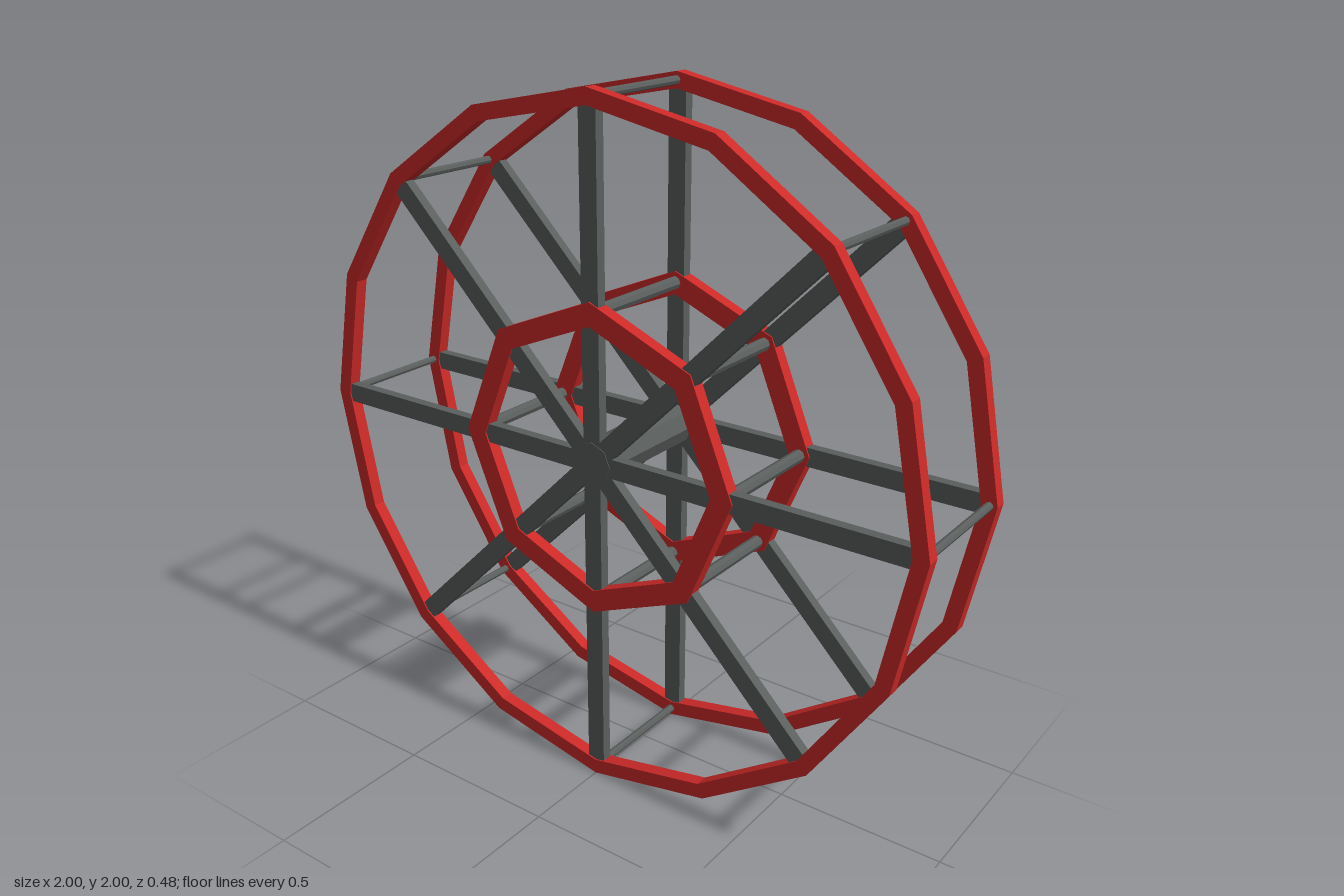
import * as THREE from 'three';

const red = new THREE.MeshStandardMaterial({ color: 0xcc2a28, flatShading: true });
const grey = new THREE.MeshStandardMaterial({ color: 0x5a5e5c, flatShading: true });
const FRONT = 0.22, BACK = -0.167, DEPTH = 0.038, SPOKES = 8;

// Regular polygon with one corner on the +x axis
function polygon(path, radius, sides) {
  const points = [];
  for (let i = 0; i < sides; i++) {
    const a = (i / sides) * Math.PI * 2;
    points.push(new THREE.Vector2(radius * Math.cos(a), radius * Math.sin(a)));
  }
  return path.setFromPoints(points);
}

function ring(name, outer, inner, sides, z) {
  const shape = polygon(new THREE.Shape(), outer, sides);
  shape.holes.push(polygon(new THREE.Path(), inner, sides));
  const geometry = new THREE.ExtrudeGeometry(shape, { depth: DEPTH, bevelEnabled: false });
  const mesh = new THREE.Mesh(geometry, red);
  mesh.name = name;
  mesh.position.z = z - DEPTH / 2;
  return mesh;
}

// Eight-sided bar running along z
function bar(name, radius, z0, z1) {
  const geometry = new THREE.CylinderGeometry(radius, radius, z1 - z0, 8);
  geometry.rotateX(Math.PI / 2);
  const mesh = new THREE.Mesh(geometry, grey);
  mesh.name = name;
  mesh.position.z = (z0 + z1) / 2;
  return mesh;
}

export function createModel() {
  const model = new THREE.Group();
  model.name = 'wheel';
  const wheel = new THREE.Group();
  wheel.name = 'wheelFrame';
  wheel.position.y = 1;
  model.add(wheel);

  // Two matching faces, each with an outer rim, inner ring and spokes
  for (const [side, z] of [['front', FRONT], ['back', BACK]]) {
    const face = new THREE.Group();
    face.name = side + 'Face';
    face.add(ring('outerRim', 1, 0.955, 16, z));
    face.add(ring('innerRing', 0.455, 0.388, 8, z));
    for (let i = 0; i < SPOKES; i++) {
      const a = (i / SPOKES) * Math.PI * 2;
      const spoke = new THREE.Mesh(new THREE.BoxGeometry(0.96, 0.056, 0.03), grey);
      spoke.name = 'spoke';
      spoke.position.set(0.48 * Math.cos(a), 0.48 * Math.sin(a), z);
      spoke.rotation.z = a;
      face.add(spoke);
    }
    wheel.add(face);
  }

  // Struts joining the two faces at every spoke
  for (let i = 0; i < SPOKES; i++) {
    const a = (i / SPOKES) * Math.PI * 2;
    for (const [name, r, thickness] of [['outerStrut', 0.977, 0.012], ['innerStrut', 0.422, 0.019]]) {
      const strut = bar(name, thickness, BACK, FRONT);
      strut.position.x = r * Math.cos(a);
      strut.position.y = r * Math.sin(a);
      strut.rotation.z = a;
      wheel.add(strut);
    }
  }

  // Axle sticking out at the back
  wheel.add(bar('axle', 0.062, -0.24, 0.237));
  return model;
}
